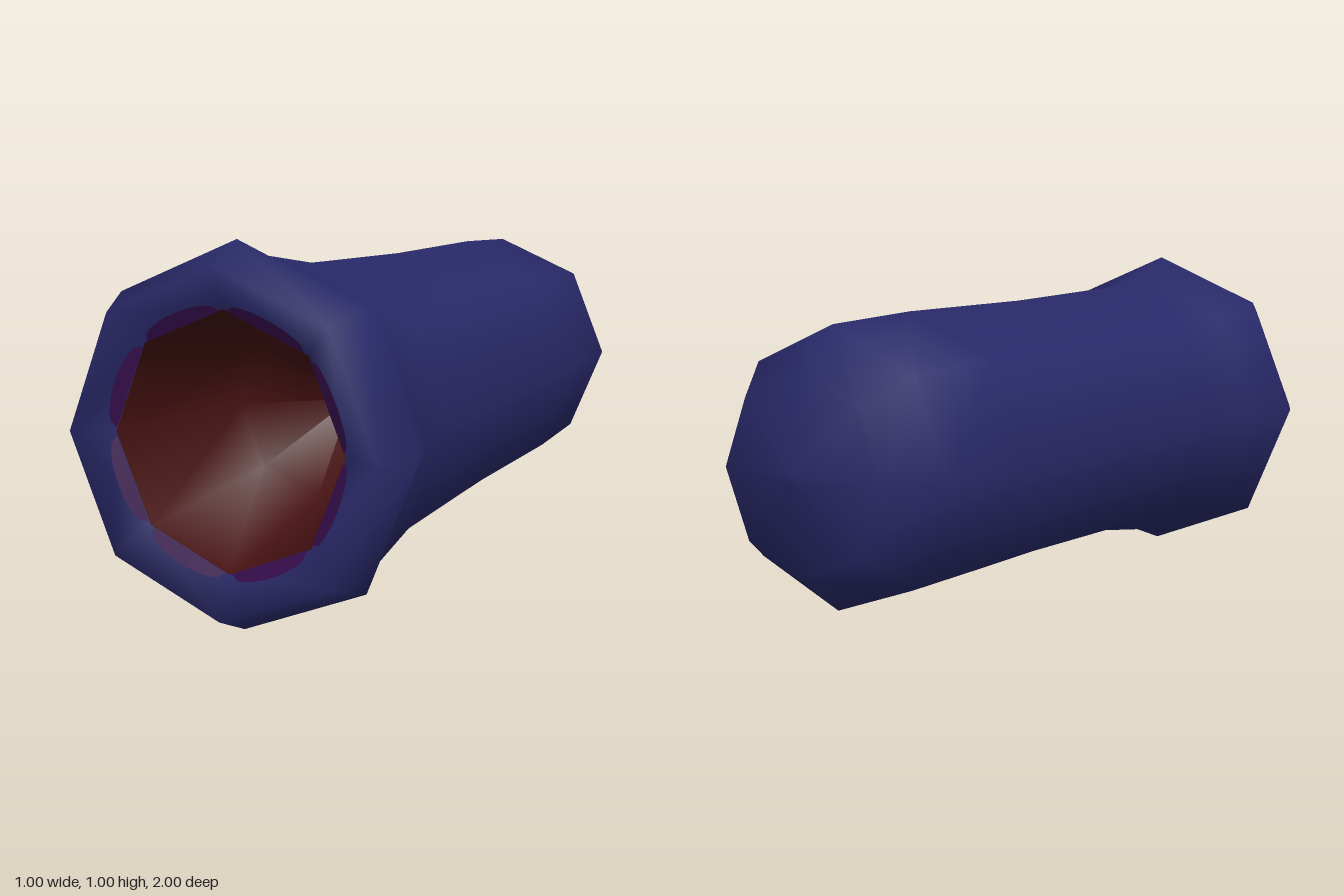
import * as THREE from 'three';

const SIDES = 8;
const blue = new THREE.MeshStandardMaterial({ color: 0x29296a });
blue.name = 'navy blue';
const red = new THREE.MeshStandardMaterial({ color: 0x461111 });
red.name = 'dark red';
const purple = new THREE.MeshStandardMaterial({ color: 0x380e4e, side: THREE.DoubleSide });
purple.name = 'deep purple';

// Octagonal turned part along z, from [radius, z] pairs
function turned(name, profile, material) {
  const points = profile.map(([r, z]) => new THREE.Vector2(r, z));
  const geometry = new THREE.LatheGeometry(points, SIDES);
  geometry.rotateX(Math.PI / 2);
  const mesh = new THREE.Mesh(geometry, material);
  mesh.name = name;
  return mesh;
}

const ringPoint = (r, z, i) => {
  const a = (i / SIDES) * Math.PI * 2;
  return new THREE.Vector3(r * Math.sin(a), r * Math.cos(a), z);
};

// Crescent lying on one facet of the lip, bulging outward from the opening
function crescent(i) {
  const steps = 12, pos = [], index = [];
  const inA = ringPoint(0.335, 0.95, i), inB = ringPoint(0.335, 0.95, i + 1);
  const outA = ringPoint(0.445, 1, i), outB = ringPoint(0.445, 1, i + 1);
  for (let k = 0; k <= steps; k++) {
    const t = 0.04 + 0.92 * k / steps;
    const inner = inA.clone().lerp(inB, t);
    const outer = outA.clone().lerp(outB, t);
    const edge = inner.clone().lerp(outer, 0.36 * Math.sqrt(Math.sin(Math.PI * k / steps)));
    pos.push(inner.x, inner.y, inner.z + 0.003, edge.x, edge.y, edge.z + 0.003);
    if (k < steps) {
      const a = 2 * k;
      index.push(a, a + 1, a + 2, a + 1, a + 3, a + 2);
    }
  }
  const geometry = new THREE.BufferGeometry();
  geometry.setAttribute('position', new THREE.Float32BufferAttribute(pos, 3));
  geometry.setIndex(index);
  geometry.computeVertexNormals();
  const mesh = new THREE.Mesh(geometry, purple);
  mesh.name = 'lipCrescent';
  return mesh;
}

export function createModel() {
  const model = new THREE.Group();
  model.name = 'flaredTube';

  // Rounded back, long body, flared collar and inward lip
  model.add(turned('outerBody', [
    [0, -1], [0.265, -0.96], [0.375, -0.83], [0.39, -0.52], [0.393, 0],
    [0.41, 0.52], [0.447, 0.74], [0.5, 0.885], [0.445, 1], [0.335, 0.95],
  ], blue));

  // Hollow inside the mouth
  model.add(turned('mouthInterior', [
    [0.335, 0.95], [0.24, 0.5], [0, 0.3],
  ], red));

  // Purple scallops around the mouth
  const scallops = new THREE.Group();
  scallops.name = 'lipScallops';
  for (let i = 0; i < SIDES; i++) scallops.add(crescent(i));
  model.add(scallops);

  for (const part of model.children) part.position.y = 0.5;
  return model;
}
